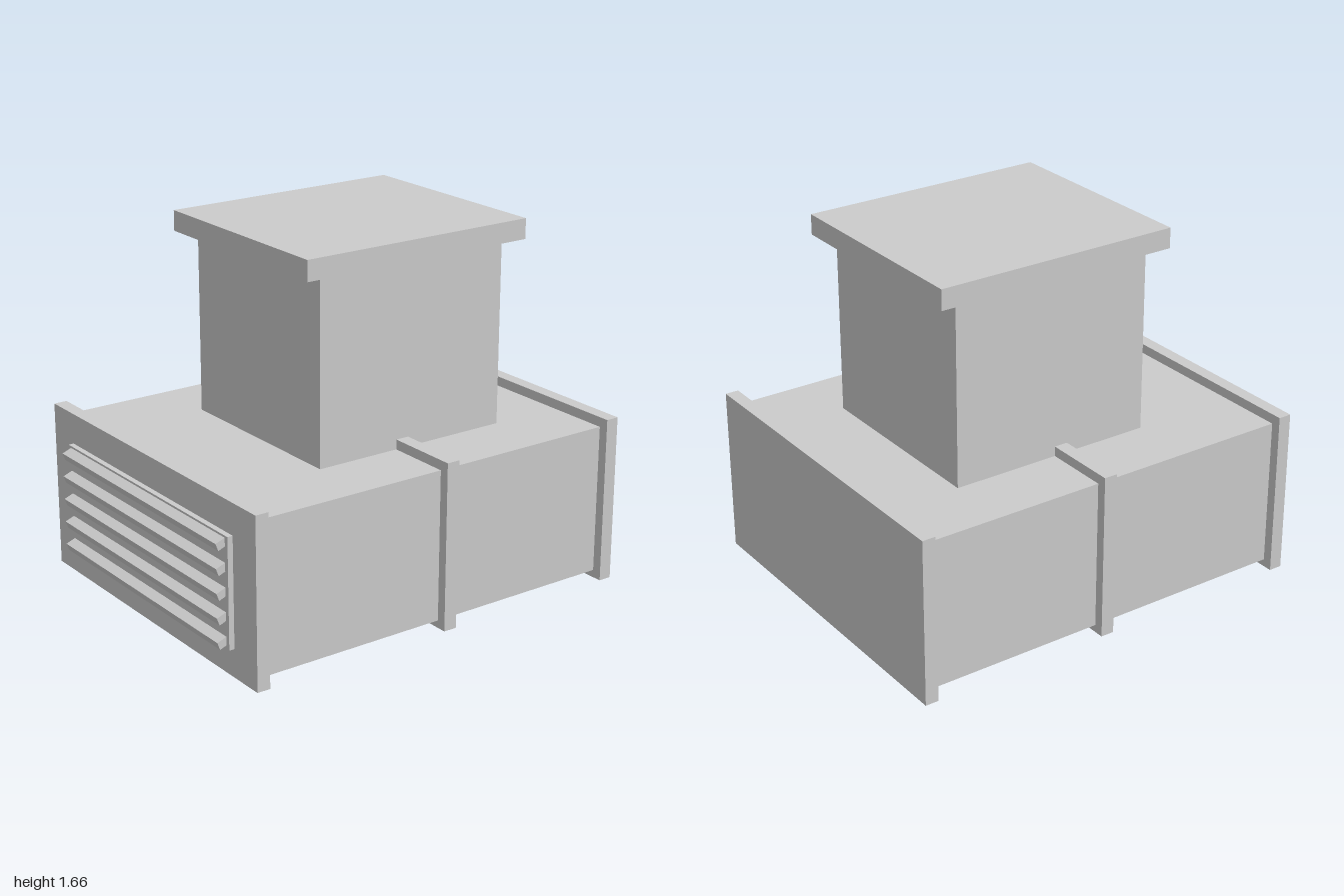
import * as THREE from 'three';

export function createModel() {
  const model = new THREE.Group();
  model.name = 'ventilationDuct';
  const metal = new THREE.MeshStandardMaterial({ color: 0xcccccc });
  metal.name = 'galvanised grey';

  // Box given by its minimum and maximum on each axis
  function box(name, [x0, x1], [y0, y1], [z0, z1]) {
    const mesh = new THREE.Mesh(new THREE.BoxGeometry(x1 - x0, y1 - y0, z1 - z0), metal);
    mesh.position.set((x0 + x1) / 2, (y0 + y1) / 2, (z0 + z1) / 2);
    mesh.name = name;
    model.add(mesh);
    return mesh;
  }

  // Horizontal duct with three flanges
  box('mainDuct', [-0.765, 0.765], [0.035, 0.727], [-0.98, 0.9]);
  const flanges = { frontFlange: [0.868, 0.93], middleFlange: [-0.098, -0.035], backFlange: [-1, -0.938] };
  for (const [name, z] of Object.entries(flanges)) {
    box(name, [-0.81, 0.81], [0, 0.772], z);
  }

  // Vertical neck and its cap
  box('neck', [-0.46, 0.46], [0.7, 1.58], [-0.598, 0.368]);
  box('neckCap', [-0.505, 0.505], [1.567, 1.66], [-0.693, 0.462]);

  // Grille backing plate with tilted slats
  box('grillePlate', [-0.645, 0.645], [0.13, 0.63], [0.92, 0.955]);
  for (let i = 0; i < 5; i++) {
    const y = 0.161 + i * 0.109;
    const slat = box('grilleSlat' + (i + 1), [-0.625, 0.625], [y - 0.018, y + 0.018], [0.9395, 0.9945]);
    slat.rotation.x = 0.36;
  }
  return model;
}
